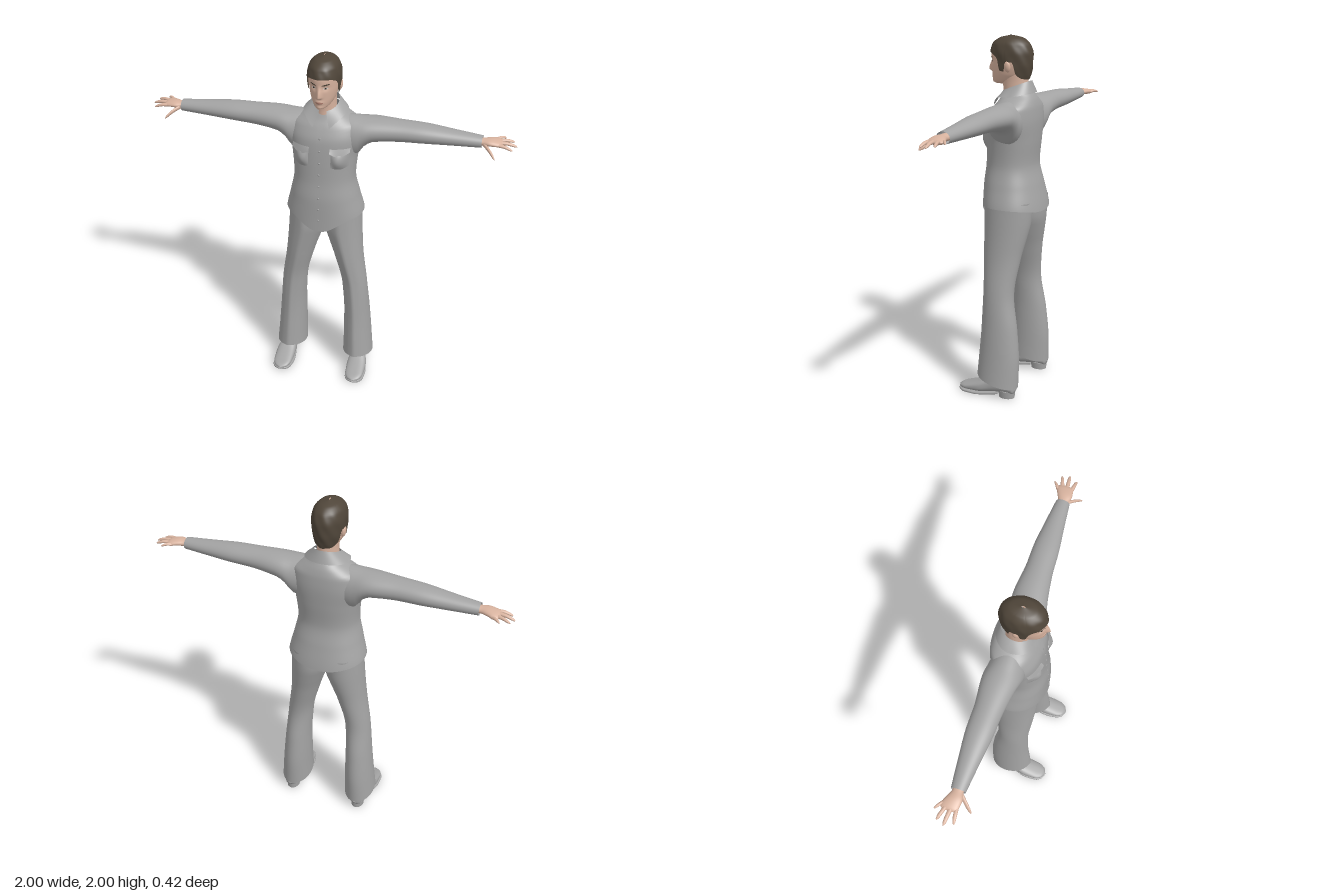
import * as THREE from 'three';

const mat = (name, color, side = THREE.FrontSide) => {
  const m = new THREE.MeshStandardMaterial({ color, side });
  m.name = name;
  return m;
};
const bell = (x, c, w) => Math.exp(-(((x - c) / w) ** 2));
const { smoothstep } = THREE.MathUtils;

// Smooth, non-overshooting interpolation through rows [t, a, b, ...]
function sample(rows, t) {
  const last = rows.length - 1;
  let k = 0;
  while (k < last - 1 && t > rows[k + 1][0]) k++;
  const slope = (i, c) => (rows[i + 1][c] - rows[i][c]) / (rows[i + 1][0] - rows[i][0]);
  const tangent = (i, c) => {
    if (i === 0) return slope(0, c);
    if (i === last) return slope(last - 1, c);
    const a = slope(i - 1, c), b = slope(i, c);
    return a * b <= 0 ? 0 : (2 * a * b) / (a + b);
  };
  const h = rows[k + 1][0] - rows[k][0];
  const s = THREE.MathUtils.clamp((t - rows[k][0]) / h, 0, 1), s2 = s * s, s3 = s2 * s;
  return rows[k].slice(1).map((v, i) => {
    const c = i + 1;
    return (2 * s3 - 3 * s2 + 1) * v + (s3 - 2 * s2 + s) * h * tangent(k, c)
      + (3 * s2 - 2 * s3) * rows[k + 1][c] + (s3 - s2) * h * tangent(k + 1, c);
  });
}

// Grid surface from fn(u, v) -> [x, y, z]; the outside is along du x dv
function grid(nu, nv, fn, closed = false) {
  const pos = [], idx = [], cols = closed ? nu : nu + 1;
  for (let j = 0; j <= nv; j++)
    for (let i = 0; i < cols; i++) pos.push(...fn(i / nu, j / nv));
  for (let j = 0; j < nv; j++)
    for (let i = 0; i < nu; i++) {
      const a = j * cols + i, b = j * cols + ((i + 1) % cols);
      idx.push(a, b, b + cols, a, b + cols, a + cols);
    }
  const g = new THREE.BufferGeometry();
  g.setAttribute('position', new THREE.Float32BufferAttribute(pos, 3));
  g.setIndex(idx);
  g.computeVertexNormals();
  return g;
}

// Oval sections along axis k; rows are [t, min, max, min, max] on the next two axes in cyclic order
function loft(k, rows, { n = 40, m = 40, pow = 1, edge = null, shape = null } = {}) {
  const sp = (v) => Math.sign(v) * Math.abs(v) ** pow;
  const end = rows[rows.length - 1][0];
  return grid(n, m, (u, v) => {
    const th = (u > 0.5 ? u - 1 : u) * 2 * Math.PI;
    const start = edge ? edge(th) : rows[0][0];
    const t = start + (end - start) * (0.5 - 0.5 * Math.cos(Math.PI * v));
    const [a0, a1, b0, b1] = sample(rows, t);
    const p = [0, 0, 0];
    p[k] = t;
    p[(k + 1) % 3] = (a0 + a1) / 2 + ((a1 - a0) / 2) * sp(Math.cos(th));
    p[(k + 2) % 3] = (b0 + b1) / 2 + ((b1 - b0) / 2) * sp(Math.sin(th));
    if (shape) shape(p, th);
    return p;
  }, true);
}
const symmetric = (rows) => rows.map(([y, zb, zf, rx]) => [y, zb, zf, -rx, rx]);

// Front surface z of an upright loft
function frontZ(rows, x, y, pow = 1) {
  const [zb, zf, , rx] = sample(rows, y);
  return (zb + zf) / 2 + ((zf - zb) / 2) * Math.max(0, 1 - Math.abs(x / rx) ** (2 / pow)) ** (pow / 2);
}

function mirrored(geo) {
  const g = geo.clone().scale(-1, 1, 1);
  g.index.array.reverse();
  return g;
}

export function createModel() {
  const model = new THREE.Group();
  const cloth = mat('grey cloth', 0xa3a3a3, THREE.DoubleSide);
  const skin = mat('skin', 0xd8b39f);
  const hair = mat('dark brown hair', 0x50463a, THREE.DoubleSide);
  const white = mat('eye white', 0xd8d4cc);
  const dark = mat('dark detail', 0x38302b);
  const lip = mat('lip', 0xb07f70);
  const add = (name, geo, material) => {
    const mesh = new THREE.Mesh(geo, material);
    mesh.name = name;
    model.add(mesh);
  };
  const both = (name, geo, material) => {
    add(name + 'Left', geo, material);
    add(name + 'Right', mirrored(geo), material);
  };

  // Jacket body with a curved shirt-tail hem
  const torso = symmetric([
    [1.0, -0.215, 0.132, 0.225], [1.08, -0.205, 0.13, 0.218], [1.2, -0.18, 0.128, 0.19],
    [1.32, -0.155, 0.115, 0.168], [1.45, -0.165, 0.108, 0.178], [1.55, -0.17, 0.098, 0.195],
    [1.62, -0.165, 0.07, 0.185], [1.66, -0.155, 0.045, 0.13], [1.69, -0.14, 0.03, 0.085],
    [1.71, -0.125, 0.02, 0.07]]);
  const pow = 0.9;
  add('jacket', loft(1, torso, {
    n: 64, m: 60, pow,
    edge: (th) => 1.09 - 0.075 * bell(th, 0, 0.5) - 0.03 * bell(Math.abs(th), Math.PI, 0.8),
  }), cloth);
  both('sleeve', loft(0, [
    [0.08, 1.42, 1.665, -0.13, 0.04], [0.17, 1.44, 1.662, -0.145, 0.05], [0.21, 1.495, 1.66, -0.147, 0.045],
    [0.26, 1.528, 1.66, -0.145, 0.035], [0.42, 1.545, 1.655, -0.13, 0.014], [0.5, 1.548, 1.652, -0.13, 0.01],
    [0.68, 1.555, 1.635, -0.115, -0.01], [0.82, 1.56, 1.622, -0.1, -0.025]]), cloth);

  // Placket, buttons and chest pockets follow the jacket front
  const onTorso = (x, y, lift) => [x, y, frontZ(torso, x, y, pow) + lift];
  add('placket', grid(4, 40, (u, v) => onTorso((u - 0.5) * 0.034, 1.02 + 0.62 * v, 0.004)), cloth);
  for (let i = 0; i < 8; i++) {
    const y = 1.09 + i * 0.069;
    const g = new THREE.SphereGeometry(0.006, 10, 6).scale(1, 1, 0.5);
    add('button', g.translate(...onTorso(0, y, 0.005)), cloth);
  }
  both('pocket', grid(16, 16, (u, v) => {
    const x = 0.06 + 0.09 * u, y = 1.51 - 0.095 * (1 - v) - 0.012 * (1 - v) * Math.sin(Math.PI * u);
    return onTorso(x, y, 0.003 + 0.024 * Math.sin(Math.PI * u) * Math.sin(Math.PI * v));
  }), cloth);
  both('pocketFlap', grid(12, 6, (u, v) => {
    const x = 0.056 + 0.1 * u, y = 1.522 - (1 - v) * (0.02 + 0.018 * Math.sin(Math.PI * u));
    return onTorso(x, y, 0.004 + 0.014 * (1 - v));
  }), cloth);

  // Open collar, low points at the front and standing at the back
  add('collar', grid(60, 8, (u, v) => {
    const gap = 0.38 - 0.1 * v, a = gap + u * (2 * Math.PI - 2 * gap), c = Math.cos(a), s = Math.sin(a);
    const front = Math.max(0, c), w = 1 - v;
    const top = 1.735 - 0.03 * c, low = 1.683 - 0.018 * Math.min(0, c) - 0.075 * front ** 4;
    return [s * (0.068 + 0.052 * w), low + (top - low) * v,
      -0.045 + c * (0.08 + w * (c > 0 ? 0.05 : 0.022))];
  }), cloth);

  // Flared trousers, hem lower at the heel
  both('trouserLeg', loft(1, [
    [0.06, -0.147, 0.102, 0.118, 0.298], [0.2, -0.15, 0.09, 0.12, 0.285], [0.4, -0.135, 0.075, 0.12, 0.268],
    [0.6, -0.107, 0.07, 0.108, 0.25], [0.8, -0.13, 0.085, 0.06, 0.222], [0.92, -0.155, 0.093, 0.02, 0.212],
    [1.0, -0.17, 0.098, -0.004, 0.207], [1.12, -0.18, 0.1, -0.01, 0.2]], {
    n: 48, m: 50,
    edge: (th) => 0.088 + 0.028 * Math.cos(th),
    shape: (p, th) => { p[2] += 0.006 * bell(th, 0, 0.2); },
  }), cloth);

  // Pointed shoes with sole and heel
  both('shoe', loft(2, [
    [-0.142, 0.205, 0.225, 0.05, 0.06], [-0.13, 0.182, 0.25, 0.028, 0.1], [-0.06, 0.175, 0.255, 0.026, 0.125],
    [0, 0.172, 0.262, 0.02, 0.115], [0.08, 0.166, 0.28, 0.012, 0.078], [0.15, 0.171, 0.277, 0.012, 0.052],
    [0.19, 0.188, 0.26, 0.014, 0.038], [0.208, 0.222, 0.228, 0.022, 0.026]], { pow: 0.8 }), cloth);
  both('sole', loft(2, [
    [-0.04, 0.19, 0.245, 0.012, 0.03], [0.02, 0.174, 0.264, 0.004, 0.024], [0.1, 0.163, 0.283, 0, 0.018],
    [0.16, 0.17, 0.28, 0, 0.018], [0.195, 0.19, 0.26, 0.004, 0.02], [0.21, 0.222, 0.228, 0.012, 0.016]],
  { pow: 0.5 }), cloth);
  both('heel', new THREE.CylinderGeometry(0.038, 0.036, 0.04, 24).scale(1, 1, 1.3).translate(0.215, 0.02, -0.086), cloth);

  // Hands
  both('palm', loft(0, [
    [0.78, 1.572, 1.61, -0.09, -0.035], [0.82, 1.573, 1.61, -0.09, -0.035], [0.86, 1.575, 1.612, -0.105, -0.026],
    [0.9, 1.574, 1.607, -0.12, -0.03], [0.918, 1.578, 1.6, -0.116, -0.036], [0.926, 1.588, 1.591, -0.09, -0.06]],
  { n: 24, m: 24 }), skin);
  const digits = {
    thumb: [0.825, 1.588, -0.05, 0.897, 1.54, 0.024, 0.014], indexFinger: [0.895, 1.59, -0.042, 0.978, 1.572, -0.032, 0.0105],
    middleFinger: [0.9, 1.592, -0.066, 0.998, 1.576, -0.076, 0.011], ringFinger: [0.9, 1.591, -0.09, 0.982, 1.582, -0.115, 0.0105],
    littleFinger: [0.885, 1.589, -0.108, 0.936, 1.588, -0.142, 0.0095],
  };
  for (const [name, [x0, y0, z0, x1, y1, z1, r]] of Object.entries(digits)) {
    const rows = [[0, 1], [0.45, 0.95], [0.8, 0.78], [0.94, 0.5], [1, 0.05]].map(([s, f]) => {
      const y = y0 + (y1 - y0) * s + 0.006 * Math.sin(Math.PI * s), z = z0 + (z1 - z0) * s;
      return [x0 + (x1 - x0) * s, y - r * f * 0.85, y + r * f * 0.85, z - r * f, z + r * f];
    });
    both(name, loft(0, rows, { n: 14, m: 16 }), skin);
  }

  // Neck and head with sculpted face
  add('neck', loft(1, symmetric([
    [1.63, -0.1, 0.035, 0.06], [1.7, -0.1, 0.034, 0.056], [1.75, -0.105, 0.04, 0.055], [1.82, -0.105, 0.05, 0.06]])), skin);
  const head = symmetric([
    [1.74, 0.04, 0.08, 0.006], [1.75, -0.02, 0.096, 0.036], [1.77, -0.07, 0.1, 0.054], [1.8, -0.1, 0.102, 0.067],
    [1.85, -0.118, 0.105, 0.076], [1.9, -0.12, 0.107, 0.078], [1.95, -0.105, 0.09, 0.068],
    [1.98, -0.07, 0.05, 0.045], [1.993, -0.03, 0, 0.004]]);
  const face = (x, y) =>
    0.024 * bell(x, 0, 0.011) * smoothstep(y, 1.8, 1.815) * (1 - smoothstep(y, 1.815, 1.885))
    - 0.007 * bell(Math.abs(x), 0.031, 0.017) * bell(y, 1.862, 0.014)
    + 0.005 * bell(x, 0, 0.022) * bell(y, 1.783, 0.011) + 0.005 * bell(x, 0, 0.02) * bell(y, 1.753, 0.01);
  add('head', loft(1, head, {
    n: 96, m: 80, shape: (p, th) => { if (Math.cos(th) > 0) p[2] += face(p[0], p[1]); },
  }), skin);
  both('ear', new THREE.SphereGeometry(1, 16, 12).scale(0.012, 0.03, 0.018).rotateZ(-0.15).translate(0.08, 1.84, -0.022), skin);

  // Painted face details laid on the head
  const spot = (cx, cy, w, h, lift, tilt = 0) => grid(20, 4, (u, v) => {
    const a = u * 2 * Math.PI, x = cx + w * (1 - v) * Math.cos(a);
    const y = cy + h * (1 - v) * Math.sin(a) + tilt * (x - cx);
    return [x, y, frontZ(head, x, y) + face(x, y) + lift];
  }, true);
  both('eye', spot(0.031, 1.862, 0.012, 0.005, 0.0015), white);
  both('iris', spot(0.031, 1.862, 0.0048, 0.0048, 0.003), dark);
  both('eyebrow', spot(0.033, 1.882, 0.019, 0.0038, 0.002, 0.12), hair);
  add('mouth', spot(0, 1.782, 0.021, 0.006, 0.0015), lip);

  // Short hair with sideburns; the lower edge varies around the head
  const hairline = [[0, 1.912], [0.6, 1.91], [1.0, 1.895], [1.15, 1.88], [1.3, 1.815],
    [1.5, 1.815], [1.6, 1.865], [1.9, 1.865], [2.1, 1.8], [2.5, 1.775], [3.15, 1.77]];
  add('hair', loft(1, symmetric([
    [1.76, -0.108, 0.095, 0.066], [1.8, -0.121, 0.108, 0.078], [1.85, -0.13, 0.111, 0.086], [1.9, -0.131, 0.113, 0.088],
    [1.95, -0.117, 0.1, 0.079], [1.985, -0.08, 0.06, 0.051], [2.0, -0.02, 0, 0.004]]), {
    n: 96, m: 40,
    edge: (th) => sample(hairline, Math.abs(th))[0],
    shape: (p, th) => {
      const f = 1 + 0.012 * Math.sin(th * 9 + p[1] * 60) * smoothstep(2 - p[1], 0.01, 0.06);
      p[0] *= f;
      p[2] *= f;
    },
  }), hair);
  return model;
}
